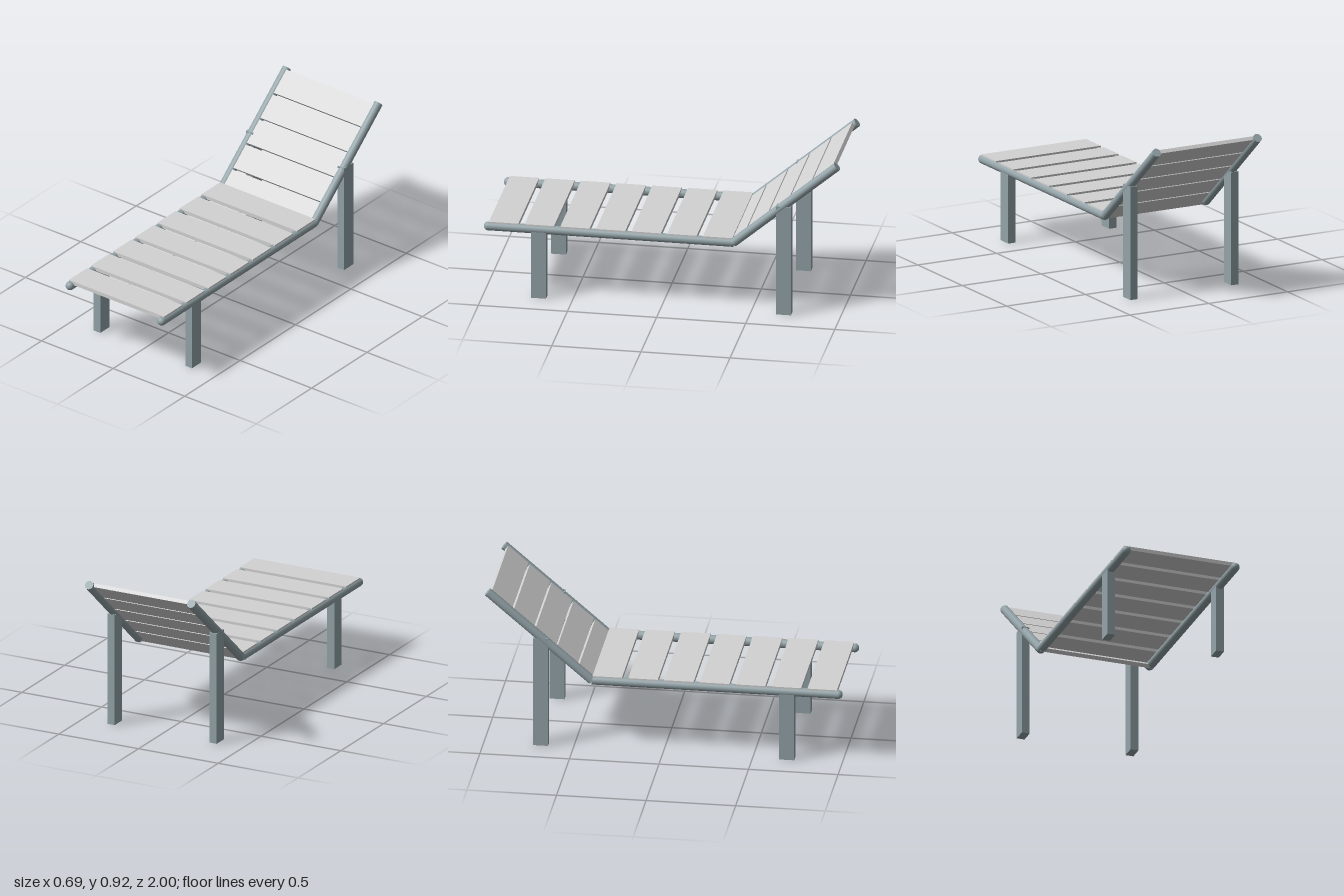
import * as THREE from 'three';

const RAIL_X = 0.32, RAIL_Y = 0.404, RAIL_R = 0.025;
const HINGE_Z = -0.4, BACK_LENGTH = 0.765, BACK_ANGLE = THREE.MathUtils.degToRad(40.5);
const SLAT_WIDTH = 0.666, SLAT_THICK = 0.022;

export function createModel() {
  const model = new THREE.Group();
  model.name = 'sunLounger';

  const frameMat = new THREE.MeshStandardMaterial({ color: 0x93a3a8 });
  frameMat.name = 'blue grey frame';
  const slatMat = new THREE.MeshStandardMaterial({ color: 0xd2d2d2 });
  slatMat.name = 'light grey slats';

  const add = (parent, name, geometry, material, x, y, z) => {
    const mesh = new THREE.Mesh(geometry, material);
    mesh.name = name;
    mesh.position.set(x, y, z);
    parent.add(mesh);
    return mesh;
  };
  // Tube running along z, between z0 and z1
  const addRail = (parent, name, x, y, z0, z1) => {
    const geometry = new THREE.CylinderGeometry(RAIL_R, RAIL_R, z1 - z0, 24).rotateX(Math.PI / 2);
    add(parent, name, geometry, frameMat, x, y, (z0 + z1) / 2);
  };
  const addLeg = (name, x, z, height) =>
    add(model, name, new THREE.BoxGeometry(0.046, height, 0.084), frameMat, x, height / 2, z);

  // Backrest: built flat towards -z, then tilted up about the hinge
  const backrest = new THREE.Group();
  backrest.name = 'backrest';
  backrest.position.set(0, RAIL_Y, HINGE_Z);
  backrest.rotation.x = BACK_ANGLE;
  model.add(backrest);

  // Rails, rounded front ends and legs on both sides
  for (const side of [1, -1]) {
    const label = side > 0 ? 'left' : 'right';
    const x = side * RAIL_X;
    addRail(model, label + 'SeatRail', x, RAIL_Y, HINGE_Z, 0.975);
    add(model, label + 'RailCap', new THREE.SphereGeometry(RAIL_R, 24, 16), frameMat, x, RAIL_Y, 0.975);
    addRail(backrest, label + 'BackRail', x, 0, -BACK_LENGTH, 0);
    addLeg(label + 'FrontLeg', x, 0.69, RAIL_Y);
    addLeg(label + 'RearLeg', x, -0.684, 0.646);
  }

  // Seven spaced seat slats resting on the rails
  const seatSlat = new THREE.BoxGeometry(SLAT_WIDTH, SLAT_THICK, 0.165);
  for (let i = 0; i < 7; i++) {
    add(model, 'seatSlat' + (i + 1), seatSlat, slatMat, 0, 0.423, 0.887 - i * 0.2);
  }

  // Five close backrest slats let into the rails
  const backSlat = new THREE.BoxGeometry(SLAT_WIDTH, SLAT_THICK, 0.149);
  for (let i = 0; i < 5; i++) {
    add(backrest, 'backSlat' + (i + 1), backSlat, slatMat, 0, 0.009, -0.036 - i * 0.16);
  }

  return model;
}
